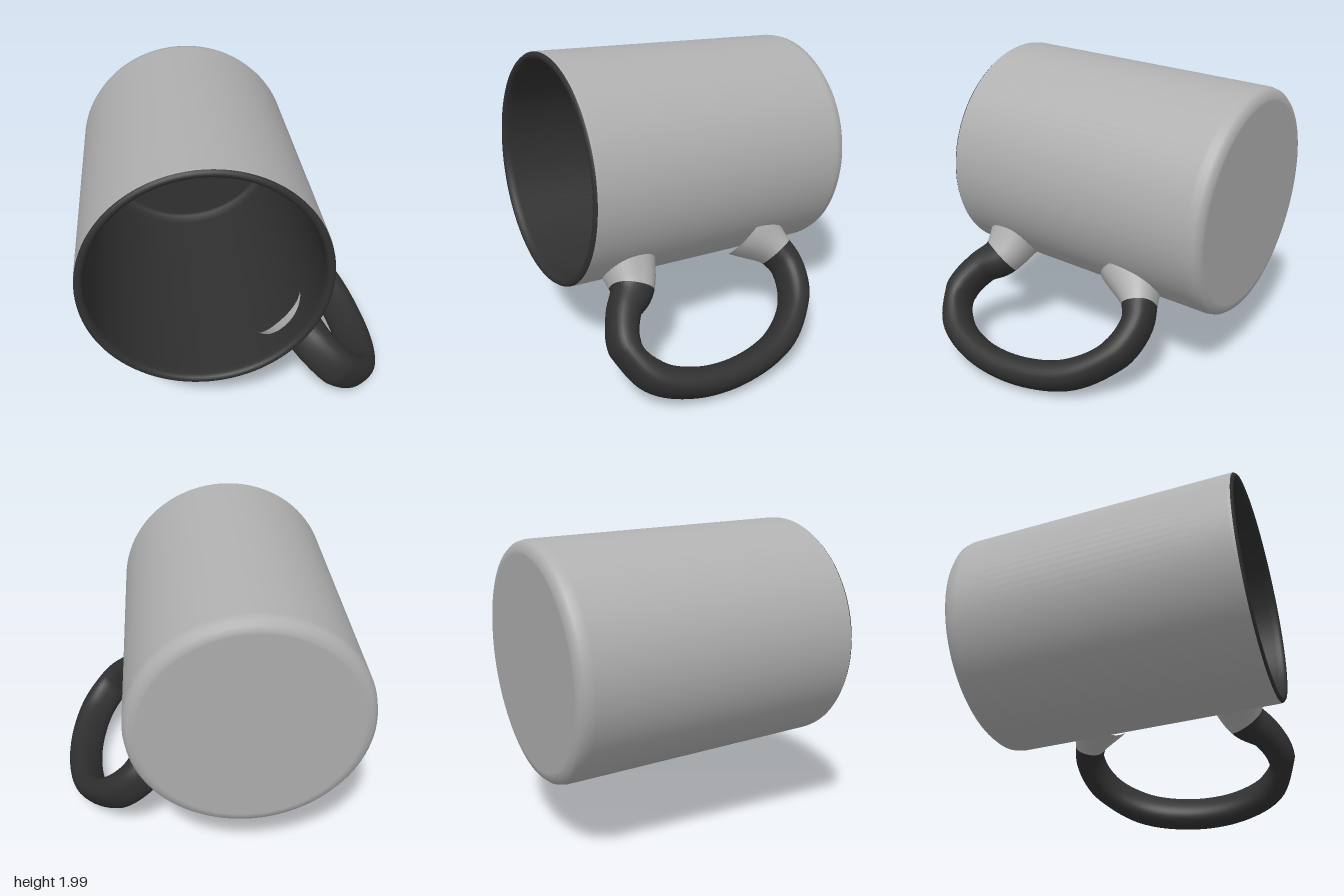
import * as THREE from 'three';

const shell = new THREE.MeshStandardMaterial({ color: 0xb0b0b0 });
shell.name = 'pale glaze';
const dark = new THREE.MeshStandardMaterial({ color: 0x303030 });
dark.name = 'dark glaze';

function addMesh(group, name, geometry, material) {
  const mesh = new THREE.Mesh(geometry, material);
  mesh.name = name;
  group.add(mesh);
}

function lathe(points) {
  return new THREE.LatheGeometry(points.map(([r, y]) => new THREE.Vector2(r, y)), 96);
}

// Handle stations from back root to front root:
// radial distance, height along the mug, half thickness, half width
const stations = [
  [0.66, -0.37, 0.21, 0.21],
  [0.86, -0.51, 0.105, 0.135],
  [0.98, -0.55, 0.092, 0.13],
  [1.19, -0.505, 0.09, 0.13],
  [1.42, -0.28, 0.09, 0.13],
  [1.53, 0.07, 0.09, 0.13],
  [1.52, 0.42, 0.09, 0.13],
  [1.41, 0.67, 0.09, 0.13],
  [1.2, 0.785, 0.09, 0.13],
  [1.0, 0.725, 0.1, 0.13],
  [0.87, 0.62, 0.135, 0.135],
  [0.66, 0.585, 0.18, 0.2],
];
const path = new THREE.CatmullRomCurve3(stations.map(([s, t]) => new THREE.Vector3(s, t, 0)));
const sizes = new THREE.CatmullRomCurve3(stations.map(([, , a, b]) => new THREE.Vector3(a, b, 0)));

// Sweeps a rounded section along the handle path between two stations
function sweep(from, to, steps) {
  const sides = 32, positions = [], index = [];
  const soften = (v) => Math.sign(v) * Math.pow(Math.abs(v), 0.85);
  for (let i = 0; i <= steps; i++) {
    const u = (from + (to - from) * i / steps) / (stations.length - 1);
    const p = path.getPoint(u), d = path.getTangent(u), size = sizes.getPoint(u);
    for (let j = 0; j < sides; j++) {
      const angle = j / sides * Math.PI * 2;
      const n = size.x * soften(Math.cos(angle));
      positions.push(p.x - d.y * n, p.y + d.x * n, size.y * soften(Math.sin(angle)));
      if (i < steps) {
        const a = i * sides + j, b = i * sides + (j + 1) % sides;
        index.push(a, b, b + sides, a, b + sides, a + sides);
      }
    }
  }
  const geometry = new THREE.BufferGeometry();
  geometry.setAttribute('position', new THREE.Float32BufferAttribute(positions, 3));
  geometry.setIndex(index);
  geometry.computeVertexNormals();
  return geometry;
}

export function createModel() {
  const model = new THREE.Group();
  model.name = 'mug';
  const mug = new THREE.Group();
  mug.name = 'tiltedMug';
  model.add(mug);

  // Outer wall with a rounded base edge
  addMesh(mug, 'outerWall', lathe([
    [0, -0.933], [0.66, -0.933], [0.675, -0.933], [0.71, -0.922], [0.732, -0.898],
    [0.74, -0.86], [0.74, -0.84], [0.74, 0.9], [0.738, 0.918],
  ]), shell);

  // Dark lip, inner wall and floor
  addMesh(mug, 'lipAndInterior', lathe([
    [0.738, 0.918], [0.728, 0.931], [0.712, 0.934], [0.697, 0.928], [0.687, 0.91],
    [0.685, 0.88], [0.685, -0.79], [0.678, -0.83], [0.655, -0.85], [0.63, -0.853], [0, -0.853],
  ]), dark);

  // Handle grip between two flared roots
  const last = stations.length - 1;
  addMesh(mug, 'backHandleRoot', sweep(0, 1, 10), shell);
  addMesh(mug, 'handleGrip', sweep(1, last - 1, 72), dark);
  addMesh(mug, 'frontHandleRoot', sweep(last - 1, last, 10), shell);

  // Lay the mug on its side, opening forward, handle down to its left
  const axis = new THREE.Vector3(-0.11, 0.115, 1.86).normalize();
  const out = new THREE.Vector3(1, -1, 0).normalize();
  out.addScaledVector(axis, -out.dot(axis)).normalize();
  const across = new THREE.Vector3().crossVectors(out, axis);
  mug.quaternion.setFromRotationMatrix(new THREE.Matrix4().makeBasis(out, axis, across));
  mug.position.set(-0.205, 1.2, -0.003);
  return model;
}
